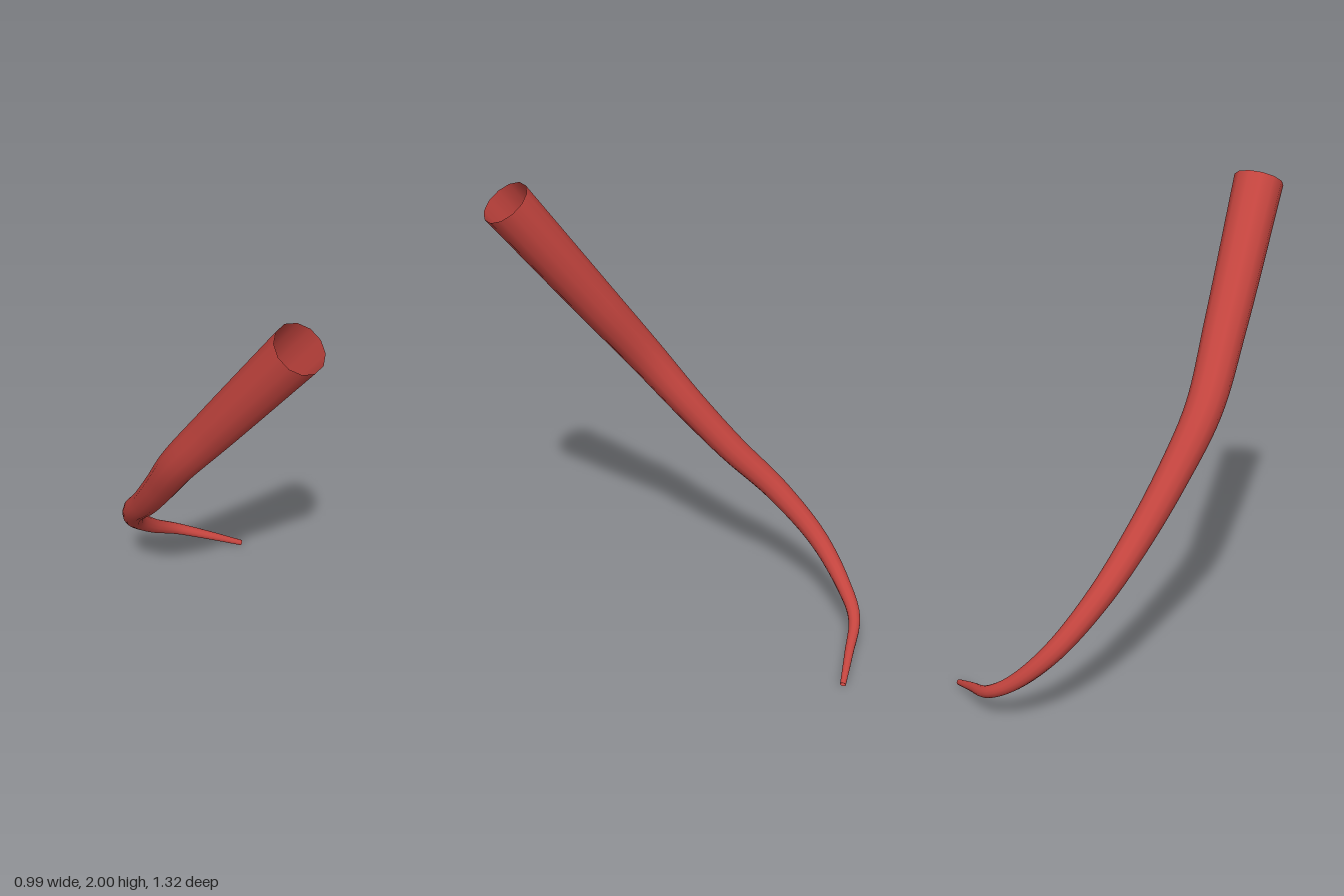
import * as THREE from 'three';

// Centre line from the wide top mouth to the thin tip: x, y, z, radius
const STATIONS = [
  [0.41, 1.942, 0.565, 0.097],
  [0.095, 1.463, 0.413, 0.083],
  [-0.08, 1.193, 0.318, 0.073],
  [-0.193, 0.97, 0.193, 0.064],
  [-0.30, 0.76, 0.053, 0.057],
  [-0.405, 0.57, -0.098, 0.049],
  [-0.459, 0.373, -0.272, 0.04],
  [-0.428, 0.22, -0.425, 0.031],
  [-0.36, 0.138, -0.527, 0.025],
  [-0.215, 0.07, -0.597, 0.018],
  [-0.095, 0.014, -0.65, 0.012],
];

// Tube whose radius follows the stations along the curve
function taperedTube(stations, segments, sides) {
  const curve = new THREE.CatmullRomCurve3(stations.map(([x, y, z]) => new THREE.Vector3(x, y, z)));
  const geometry = new THREE.TubeGeometry(curve, segments, 1, sides, false);
  const position = geometry.attributes.position;
  const normal = geometry.attributes.normal;
  const last = stations.length - 1;
  for (let i = 0; i <= segments; i++) {
    const u = i / segments;
    const centre = curve.getPointAt(u);
    const t = curve.getUtoTmapping(u) * last;
    const k = Math.min(Math.floor(t), last - 1);
    const radius = THREE.MathUtils.lerp(stations[k][3], stations[k + 1][3], t - k);
    for (let j = 0; j <= sides; j++) {
      const n = i * (sides + 1) + j;
      const out = new THREE.Vector3().fromBufferAttribute(normal, n);
      const p = centre.clone().addScaledVector(out, radius);
      position.setXYZ(n, p.x, p.y, p.z);
    }
  }
  return geometry;
}

export function createModel() {
  const red = new THREE.MeshStandardMaterial({ color: 0xc5453f, side: THREE.DoubleSide });
  red.name = 'red';

  const model = new THREE.Group();
  model.name = 'taperedTail';

  // Hollow curved body, open at both ends
  const body = new THREE.Mesh(taperedTube(STATIONS, 64, 12), red);
  body.name = 'curvedTube';
  model.add(body);
  return model;
}
